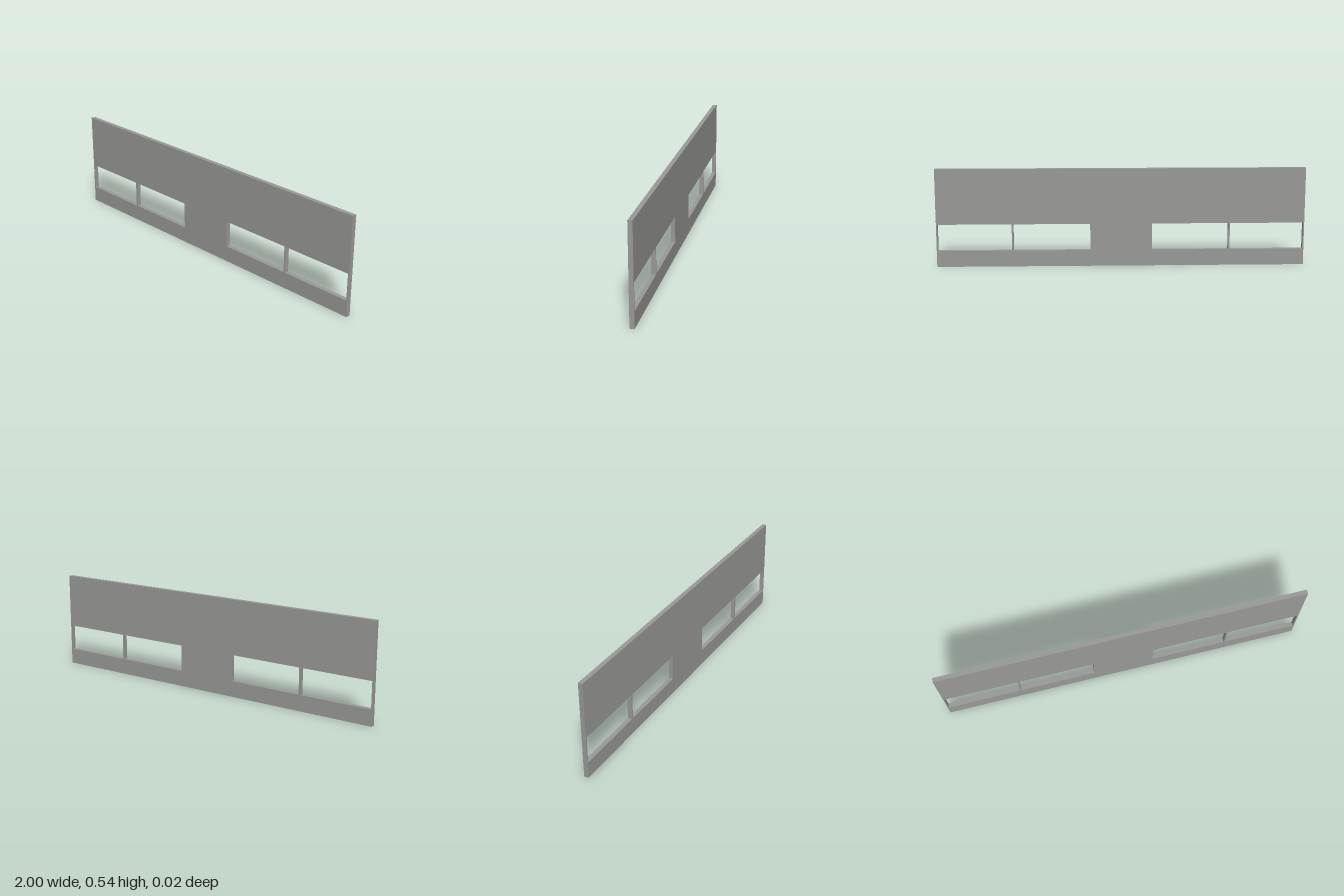
import * as THREE from 'three';

const HALF_WIDTH = 1, HEIGHT = 0.535, DEPTH = 0.024;
const SILL = 0.088, HEAD = 0.233;

export function createModel() {
  const group = new THREE.Group();
  group.name = 'wallPanel';

  const wallGrey = new THREE.MeshStandardMaterial({ color: 0x999997 });
  wallGrey.name = 'wallGrey';

  // Wall outline
  const outline = new THREE.Shape();
  outline.moveTo(-HALF_WIDTH, 0);
  outline.lineTo(HALF_WIDTH, 0);
  outline.lineTo(HALF_WIDTH, HEIGHT);
  outline.lineTo(-HALF_WIDTH, HEIGHT);
  outline.closePath();

  // Two window openings on each side, with a slim mullion between them
  for (const side of [-1, 1]) {
    for (const [inner, outer] of [[0.168, 0.584], [0.593, 0.993]]) {
      const opening = new THREE.Path();
      opening.moveTo(side * inner, SILL);
      opening.lineTo(side * inner, HEAD);
      opening.lineTo(side * outer, HEAD);
      opening.lineTo(side * outer, SILL);
      opening.closePath();
      outline.holes.push(opening);
    }
  }

  const geometry = new THREE.ExtrudeGeometry(outline, { depth: DEPTH, bevelEnabled: false });
  geometry.translate(0, 0, -DEPTH / 2);
  const wall = new THREE.Mesh(geometry, wallGrey);
  wall.name = 'wallWithWindowOpenings';
  group.add(wall);
  return group;
}
